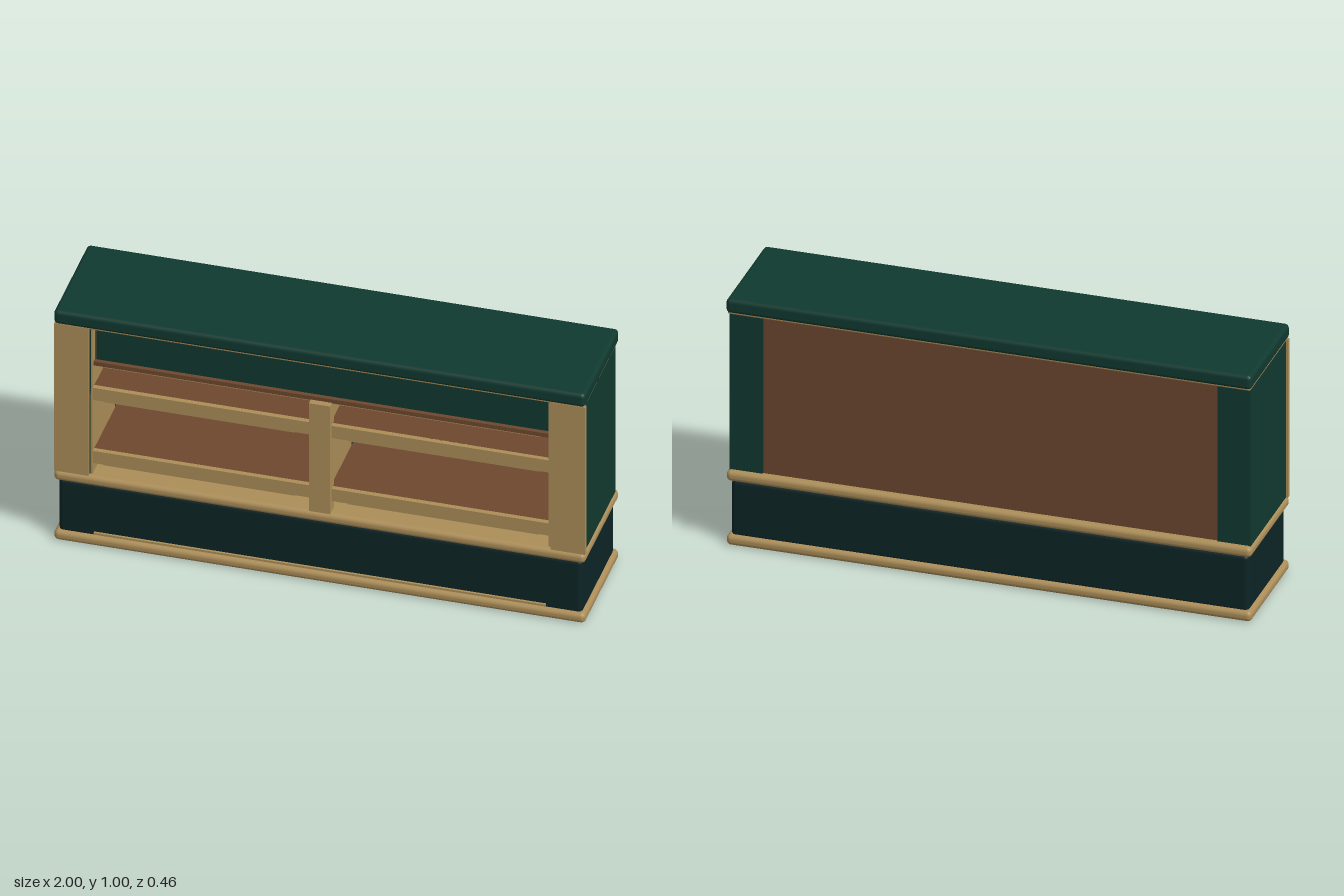
import * as THREE from 'three';
import { RoundedBoxGeometry } from 'three/addons/geometries/RoundedBoxGeometry.js';

export function createModel() {
  const model = new THREE.Group();
  model.name = 'barCounter';

  const material = (name, color) => {
    const m = new THREE.MeshStandardMaterial({ color });
    m.name = name;
    return m;
  };
  const tan = material('tanWood', 0xab8d58);
  const green = material('greenPaint', 0x10392f);
  const dark = material('darkPlinthPaint', 0x0d2426);
  const brown = material('brownWood', 0x6e472f);

  // Box given by its limits on each axis; a radius rounds its edges.
  const box = (name, mat, [x0, x1], [y0, y1], [z0, z1], radius = 0) => {
    const size = [x1 - x0, y1 - y0, z1 - z0];
    const geometry = radius
      ? new RoundedBoxGeometry(...size, 4, radius)
      : new THREE.BoxGeometry(...size);
    const mesh = new THREE.Mesh(geometry, mat);
    mesh.position.set((x0 + x1) / 2, (y0 + y1) / 2, (z0 + z1) / 2);
    mesh.name = name;
    model.add(mesh);
  };
  // Range along x, mirrored when side is -1.
  const span = (side, a, b) => (side > 0 ? [a, b] : [-b, -a]);

  // Plinth between two rounded mouldings
  box('baseMoulding', tan, [-1, 1], [0, 0.042], [-0.228, 0.228], 0.018);
  box('plinth', dark, [-0.985, 0.985], [0.03, 0.262], [-0.212, 0.212], 0.018);
  box('plinthTrim', tan, [-0.85, 0.85], [0.048, 0.056], [0.208, 0.221]);
  box('beltMoulding', tan, [-1, 1], [0.26, 0.302], [-0.228, 0.228], 0.018);

  // Counter top with a thin moulding under it
  box('topMoulding', tan, [-0.995, 0.995], [0.937, 0.953], [-0.22, 0.22], 0.006);
  box('counterTop', green, [-1, 1], [0.943, 1], [-0.228, 0.228], 0.016);

  // Back panel, compartment ceiling and header
  box('backPanel', brown, [-0.87, 0.87], [0.3, 0.94], [-0.2, -0.185]);
  box('ceiling', brown, [-0.865, 0.865], [0.768, 0.785], [-0.19, 0.195]);
  box('ceilingTrim', tan, [-0.82, 0.82], [0.758, 0.768], [0.17, 0.185]);
  box('headerFrame', brown, [-0.865, 0.865], [0.78, 0.94], [0.165, 0.178]);
  box('headerPanel', green, [-0.85, 0.85], [0.79, 0.937], [0.175, 0.185]);

  // Centre post and divider
  box('centrePost', tan, [-0.04, 0.04], [0.3, 0.77], [0.17, 0.22]);
  box('dividerFront', tan, [-0.032, 0.032], [0.3, 0.77], [-0.09, 0.18]);
  box('dividerBack', green, [-0.032, 0.032], [0.3, 0.77], [-0.19, -0.09]);

  for (const side of [1, -1]) {
    // Side walls, their lining and front pilasters
    box('sideWall', green, span(side, 0.865, 0.992), [0.3, 0.94], [-0.206, 0.206]);
    box('sideLining', tan, span(side, 0.858, 0.866), [0.3, 0.94], [-0.09, 0.206]);
    box('pilaster', tan, span(side, 0.87, 1), [0.3, 0.942], [0.205, 0.221]);

    // Two shelves on each side, with tan front edges
    for (const y of [0.4, 0.675]) {
      box('shelf', brown, span(side, 0.032, 0.86), [y - 0.02, y], [-0.19, 0.185]);
      box('shelfEdge', tan, span(side, 0.032, 0.862), [y - 0.053, y], [0.183, 0.203]);
      box('shelfLip', tan, span(side, 0.1, 0.82), [y - 0.061, y - 0.052], [0.183, 0.195]);
    }
  }
  return model;
}
